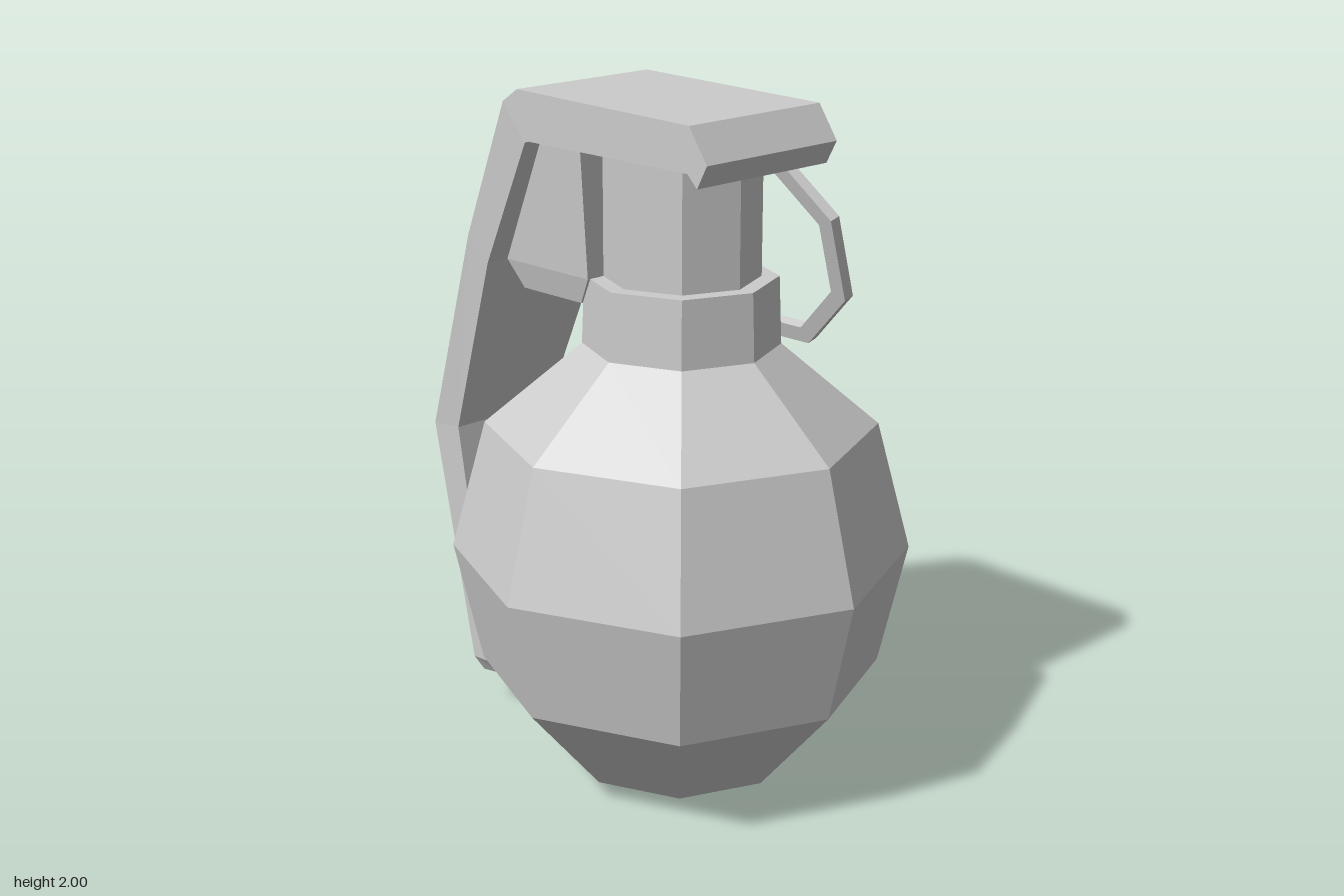
import * as THREE from 'three';

const material = new THREE.MeshStandardMaterial({ color: 0xcccccc, flatShading: true });
const CENTRE_Z = 0.117;

function addMesh(parent, name, geometry, x = 0, y = 0, z = 0) {
  const mesh = new THREE.Mesh(geometry, material);
  mesh.name = name;
  mesh.position.set(x, y, z);
  parent.add(mesh);
  return mesh;
}

// Solid strip from sections [outerZ, outerY, innerZ, innerY, halfWidth]
function strip(sections) {
  const positions = [], index = [];
  for (const [oz, oy, iz, iy, w] of sections) {
    positions.push(w, oy, oz, -w, oy, oz, -w, iy, iz, w, iy, iz);
  }
  const last = (sections.length - 1) * 4;
  for (let s = 0; s < last; s += 4) {
    for (let k = 0; k < 4; k++) {
      const a = s + k, b = s + (k + 1) % 4;
      index.push(a, a + 4, b + 4, a, b + 4, b);
    }
  }
  index.push(0, 1, 2, 0, 2, 3, last, last + 2, last + 1, last, last + 3, last + 2);
  const geometry = new THREE.BufferGeometry();
  geometry.setAttribute('position', new THREE.Float32BufferAttribute(positions, 3));
  geometry.setIndex(index);
  geometry.computeVertexNormals();
  return geometry;
}

// Octagon with flat sides, given the distance from centre to side
function octagon(PathType, apothem) {
  const r = apothem / Math.cos(Math.PI / 8);
  const points = [];
  for (let i = 0; i < 8; i++) {
    const a = (i + 0.5) * Math.PI / 4;
    points.push(new THREE.Vector2(r * Math.cos(a), r * Math.sin(a)));
  }
  return new PathType(points);
}

export function createModel() {
  const model = new THREE.Group();
  model.name = 'grenade';

  // Eight-sided body with collar and neck
  const lathe = (points) =>
    new THREE.LatheGeometry(points.map(([r, y]) => new THREE.Vector2(r, y)), 8);
  addMesh(model, 'body', lathe([
    [0, 0], [0.33, 0.05], [0.58, 0.34], [0.66, 0.695], [0.56, 1.07], [0.28, 1.305],
  ]), 0, 0, CENTRE_Z);
  addMesh(model, 'collar', lathe([
    [0.28, 1.305], [0.272, 1.5], [0.2, 1.5],
  ]), 0, 0, CENTRE_Z);
  addMesh(model, 'neck', lathe([
    [0.222, 1.49], [0.222, 1.88], [0, 1.88],
  ]), 0, 0, CENTRE_Z);

  // Hinge block behind the neck
  addMesh(model, 'hingeBlock', strip([
    [-0.185, 1.88, -0.03, 1.88, 0.245],
    [-0.37, 1.5, -0.03, 1.5, 0.22],
    [-0.32, 1.42, -0.08, 1.42, 0.2],
  ]));

  // Safety lever, from the front lip over the top and down the back
  addMesh(model, 'lever', strip([
    [0.455, 1.89, 0.42, 1.825, 0.25],
    [0.39, 1.985, 0.385, 1.86, 0.25],
    [-0.28, 2.0, -0.235, 1.86, 0.25],
    [-0.34, 1.96, -0.25, 1.855, 0.25],
    [-0.535, 1.545, -0.45, 1.475, 0.227],
    [-0.772, 0.905, -0.66, 0.915, 0.185],
    [-0.625, 0.16, -0.545, 0.165, 0.175],
    [-0.615, 0.11, -0.54, 0.12, 0.145],
  ]));

  // Pull ring, hanging outwards on the left side
  const tilt = 0.28;
  const ringShape = octagon(THREE.Shape, 0.3);
  ringShape.holes.push(octagon(THREE.Path, 0.252));
  const ringGeometry = new THREE.ExtrudeGeometry(ringShape, { depth: 0.035, bevelEnabled: false });
  ringGeometry.translate(0, 0, -0.0175);
  ringGeometry.rotateY(Math.PI / 2);
  addMesh(model, 'pullRing', ringGeometry, 0.33, 1.543, CENTRE_Z).rotation.z = tilt;

  // Pin clip wrapped around the top of the ring
  const clip = new THREE.Group();
  clip.name = 'pinClip';
  clip.position.set(0.288, 1.81, CENTRE_Z + 0.003);
  clip.rotation.z = tilt;
  model.add(clip);
  addMesh(clip, 'clipPlate', new THREE.BoxGeometry(0.045, 0.11, 0.058));
  addMesh(clip, 'clipTop', new THREE.BoxGeometry(0.08, 0.03, 0.058), -0.03, 0.04, 0);
  addMesh(clip, 'clipPin', new THREE.BoxGeometry(0.12, 0.035, 0.058), -0.055, -0.045, 0);

  return model;
}
